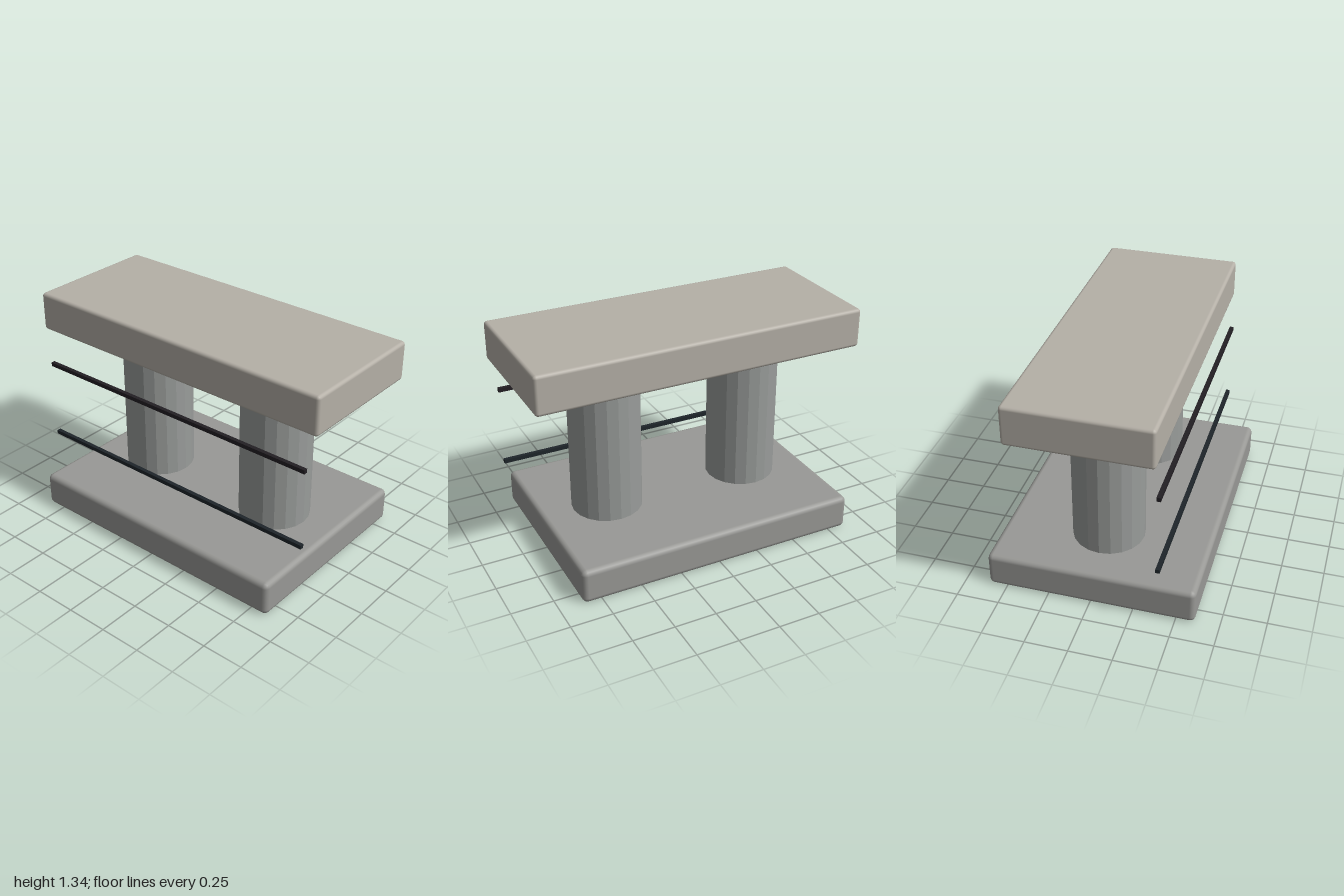
import * as THREE from 'three';
import { RoundedBoxGeometry } from 'three/addons/geometries/RoundedBoxGeometry.js';

export function createModel() {
  const model = new THREE.Group();
  const paint = (color, flatShading = false) => new THREE.MeshStandardMaterial({ color, flatShading });

  const add = (name, geometry, material, x, y, z) => {
    const mesh = new THREE.Mesh(geometry, material);
    mesh.name = name;
    mesh.position.set(x, y, z);
    model.add(mesh);
  };

  // Rounded slabs: wide base and longer, narrower top
  add('base', new RoundedBoxGeometry(1.725, 0.21, 1.22, 2, 0.032), paint(0x999996), 0, 0.105, 0);
  add('topSlab', new RoundedBoxGeometry(2, 0.235, 0.82, 2, 0.02), paint(0xb5b0a7), 0, 1.2175, 0);

  // Twin faceted columns, sunk slightly into both slabs
  const columnGeometry = new THREE.CylinderGeometry(0.213, 0.213, 0.93, 20);
  const columnMaterial = paint(0x999c9a, true);
  for (const [name, side] of [['leftColumn', 1], ['rightColumn', -1]]) {
    add(name, columnGeometry, columnMaterial, side * 0.455, 0.655, 0);
  }

  // Thin square rails floating in front of the columns
  const railGeometry = new THREE.BoxGeometry(1.89, 0.024, 0.024);
  add('upperRail', railGeometry, paint(0x231f24), 0, 0.884, 0.414);
  add('lowerRail', railGeometry, paint(0x1e252a), 0, 0.404, 0.414);

  return model;
}
